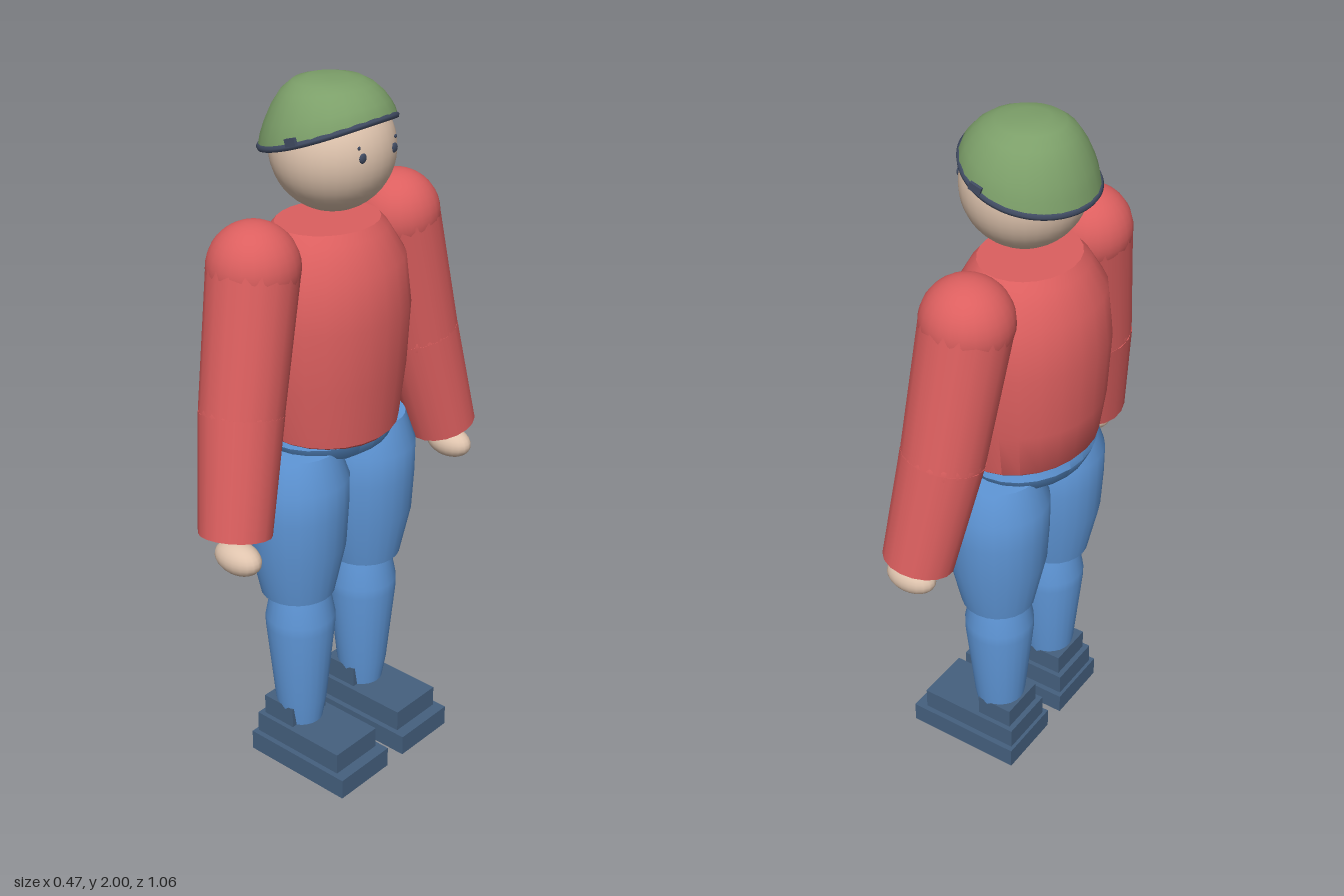
import * as THREE from 'three';
import { toCreasedNormals } from 'three/addons/utils/BufferGeometryUtils.js';

const mat = (name, color) => Object.assign(new THREE.MeshStandardMaterial({ color }), { name });

export function createModel() {
  const model = new THREE.Group();
  model.name = 'figure';
  const red = mat('red shirt', 0xdc5f5f);
  const blue = mat('blue trousers', 0x5f97d8);
  const navy = mat('navy shoes', 0x45607f);
  const skin = mat('skin', 0xdfc4ae);
  const green = mat('green helmet', 0x7c9f69);
  const dark = mat('dark trim', 0x414c63);
  green.side = THREE.DoubleSide;

  const add = (name, geometry, material, x = 0, y = 0, z = 0, parent = model) => {
    const mesh = new THREE.Mesh(geometry, material);
    mesh.name = name;
    mesh.position.set(x, y, z);
    parent.add(mesh);
    return mesh;
  };

  // Turned body part from [radius, height] pairs, with flat ends
  const turned = (profile, sides = 24) => {
    const pts = [[0, profile[0][1]], ...profile, [0, profile[profile.length - 1][1]]];
    return new THREE.LatheGeometry(pts.map(([r, y]) => new THREE.Vector2(r, y)), sides);
  };
  const crease = (g) => toCreasedNormals(g, 0.65);

  // Moves every vertex by a rule
  const bend = (geometry, rule) => {
    const p = geometry.attributes.position;
    const v = new THREE.Vector3();
    for (let i = 0; i < p.count; i++) {
      rule(v.fromBufferAttribute(p, i));
      p.setXYZ(i, v.x, v.y, v.z);
    }
    return geometry;
  };

  const box = (name, x0, x1, y0, y1, z0, z1, material, parent) =>
    add(name, new THREE.BoxGeometry(x1 - x0, y1 - y0, z1 - z0), material,
      (x0 + x1) / 2, (y0 + y1) / 2, (z0 + z1) / 2, parent);

  // Tapered cylinder between two points
  const limb = (name, a, b, ra, rb, material, parent) => {
    const dir = b.clone().sub(a);
    const mid = a.clone().add(b).multiplyScalar(0.5);
    const mesh = add(name, new THREE.CylinderGeometry(rb, ra, dir.length(), 18), material,
      mid.x, mid.y, mid.z, parent);
    mesh.quaternion.setFromUnitVectors(new THREE.Vector3(0, 1, 0), dir.normalize());
  };

  // Torso: oval, its hem a little higher at the back
  const torso = turned([[0.185, 1.035], [0.212, 1.06], [0.232, 1.2], [0.243, 1.38],
    [0.226, 1.52], [0.175, 1.6], [0.152, 1.625]]);
  add('torso', crease(bend(torso, (v) => {
    v.x *= 0.855;
    if (v.y < 1.1) v.y -= v.x * 0.1;
  })), red, -0.027);

  // Pelvis
  const pelvis = turned([[0.03, 0.925], [0.1, 0.95], [0.19, 1.0], [0.212, 1.04], [0.205, 1.065]]);
  add('pelvis', crease(bend(pelvis, (v) => { v.x *= 0.82; })), blue, -0.027);

  // Head and face
  add('head', new THREE.SphereGeometry(0.165, 32, 24), skin, -0.01, 1.82, 0);
  for (const s of [1, -1]) {
    const eye = add('eye', new THREE.SphereGeometry(0.013, 12, 8), dark, 0.143, 1.833, s * 0.06);
    eye.scale.x = 0.4;
    const brow = add('brow', new THREE.SphereGeometry(0.005, 8, 6), dark, 0.139, 1.86, s * 0.07);
    brow.scale.x = 0.6;
  }

  // Helmet: a dome whose edge rises from the nape to the forehead
  const capX = -0.027;
  const edgeY = (x) => 1.862 + 0.33 * x + 0.5 * x * x;
  const domeProfile = [[0.174, 0], [0.168, 0.18], [0.158, 0.36], [0.14, 0.6], [0.117, 0.8],
    [0.088, 0.94], [0.05, 1], [0, 1]].map(([r, t]) => new THREE.Vector2(r, t));
  const dome = bend(new THREE.LatheGeometry(domeProfile, 24), (v) => {
    const r = Math.hypot(v.x, v.z);
    const base = edgeY(capX + (r ? v.x / r : 0) * 0.174);
    v.y = base + (2 - base) * v.y;
    v.z *= 1.05;
  });
  dome.computeVertexNormals();
  add('helmet', toCreasedNormals(dome, 0.9), green, capX);

  // Trim along the helmet edge, with a small clip on each side
  const loop = [];
  for (let i = 0; i < 24; i++) {
    const a = (i / 24) * Math.PI * 2;
    const x = capX + Math.cos(a) * 0.17;
    loop.push(new THREE.Vector3(x, edgeY(x) - 0.003, Math.sin(a) * 0.178));
  }
  add('helmetTrim', new THREE.TubeGeometry(new THREE.CatmullRomCurve3(loop, true), 72, 0.009, 6, true), dark);
  for (const s of [1, -1]) {
    const clip = add('helmetClip', new THREE.BoxGeometry(0.035, 0.02, 0.009), dark, 0.012, 1.875, s * 0.18);
    clip.rotation.z = 0.3;
  }

  for (const s of [1, -1]) {
    const side = s > 0 ? 'left' : 'right';

    // Arm
    const arm = new THREE.Group();
    arm.name = side + 'Arm';
    model.add(arm);
    const shoulder = new THREE.Vector3(-0.027, 1.568, s * 0.28);
    const elbow = new THREE.Vector3(-0.002, 1.2, s * 0.362);
    const wrist = new THREE.Vector3(0.036, 0.887, s * 0.435);
    add('shoulder', new THREE.SphereGeometry(0.122, 24, 18), red, ...shoulder.toArray(), arm);
    limb('upperArm', shoulder, elbow, 0.121, 0.112, red, arm);
    add('elbow', new THREE.SphereGeometry(0.112, 20, 14), red, ...elbow.toArray(), arm);
    limb('forearm', elbow, wrist, 0.113, 0.098, red, arm);
    const hand = add('hand', new THREE.SphereGeometry(0.047, 20, 14), skin, 0.055, 0.828, s * 0.446, arm);
    hand.scale.set(1.58, 0.97, 1);

    // Leg
    const leg = new THREE.Group();
    leg.name = side + 'Leg';
    model.add(leg);
    const thigh = turned([[0.105, 0.567], [0.138, 0.72], [0.145, 0.84], [0.146, 0.93], [0.115, 1.02]]);
    add('thigh', crease(thigh), blue, -0.016, 0, s * 0.143, leg);
    const shin = turned([[0.062, 0.125], [0.075, 0.2], [0.1, 0.45], [0.1, 0.48], [0.083, 0.57]]);
    add('shin', crease(shin), blue, -0.014, 0, s * 0.135, leg);

    // Shoe: sole, upper and heel block
    const step = (name, x0, x1, y0, y1, half) =>
      box(name, x0, x1, y0, y1, s * 0.135 - half, s * 0.135 + half, navy, leg);
    step('sole', -0.12, 0.234, 0, 0.062, 0.101);
    step('shoeUpper', -0.11, 0.2, 0.062, 0.126, 0.085);
    step('heelBlock', -0.094, 0.016, 0.126, 0.188, 0.071);
  }
  return model;
}
